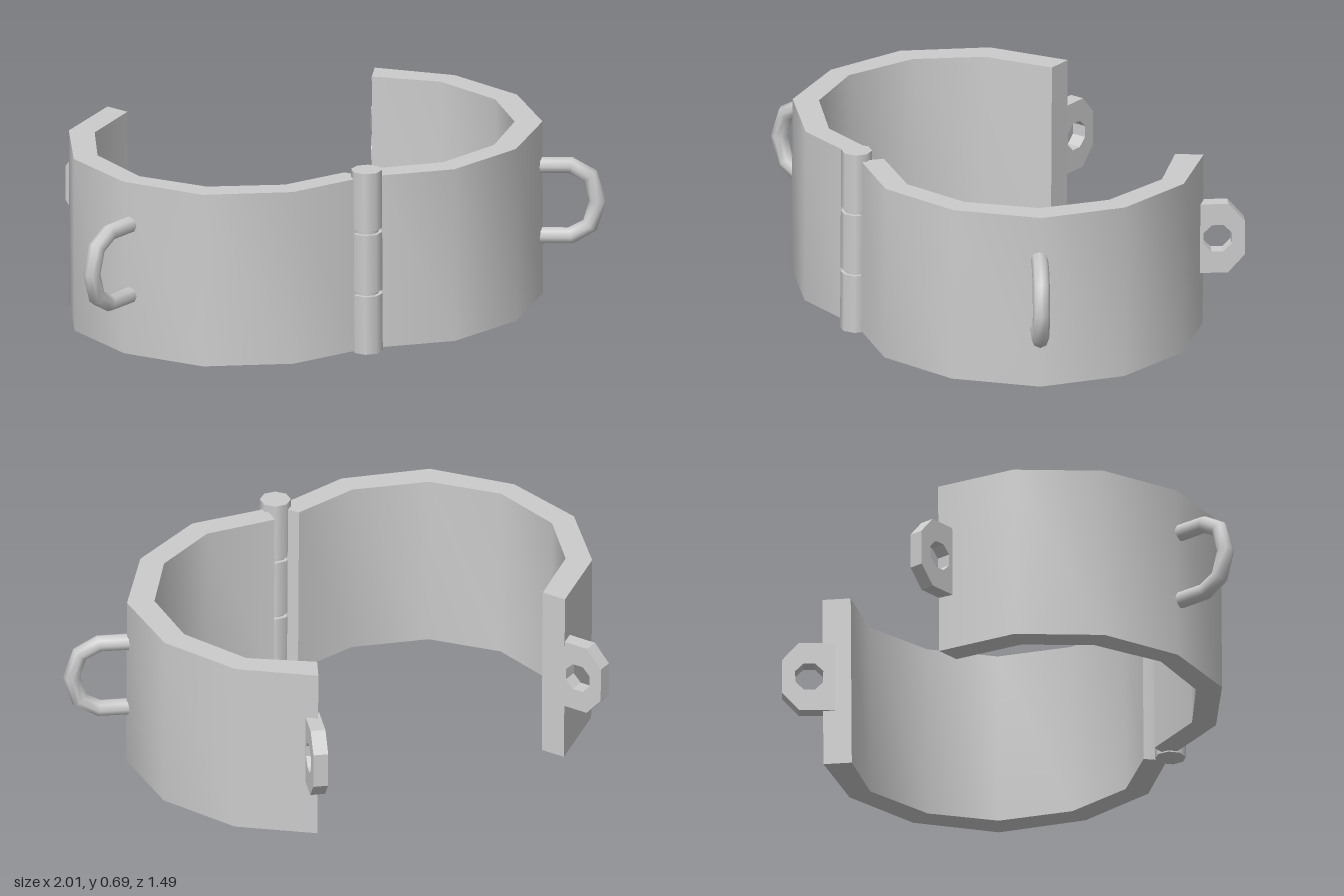
import * as THREE from 'three';
import { toCreasedNormals } from 'three/addons/utils/BufferGeometryUtils.js';

const material = new THREE.MeshStandardMaterial({ color: 0xcccccc });

function addMesh(parent, geometry, name) {
  const mesh = new THREE.Mesh(geometry, material);
  mesh.name = name;
  parent.add(mesh);
  return mesh;
}

// Faceted half band: plan outline in [x, z], extruded upward
function halfBand(outline) {
  const shape = new THREE.Shape(outline.map(([x, z]) => new THREE.Vector2(x, -z)));
  const geo = new THREE.ExtrudeGeometry(shape, { depth: 0.65, bevelEnabled: false });
  geo.rotateX(-Math.PI / 2).translate(0, 0.01, 0);
  return toCreasedNormals(geo, 0.8);
}

// Turns a part so that its local +x points along (dx, dz) in plan
function place(mesh, x, y, z, dx, dz) {
  mesh.position.set(x, y, z);
  mesh.rotation.y = Math.atan2(-dz, dx);
}

// Chamfered lock tab with an eight-sided hole
function lockTab() {
  const shape = new THREE.Shape([
    [-0.03, -0.132], [0.1, -0.132], [0.16, -0.065],
    [0.16, 0.065], [0.1, 0.132], [-0.03, 0.132],
  ].map(p => new THREE.Vector2(...p)));
  const hole = [];
  for (let i = 0; i < 8; i++) {
    const a = -(i + 0.5) * Math.PI / 4;
    hole.push(new THREE.Vector2(0.062 + 0.055 * Math.cos(a), 0.055 * Math.sin(a)));
  }
  shape.holes.push(new THREE.Path(hole));
  const geo = new THREE.ExtrudeGeometry(shape, { depth: 0.054, bevelEnabled: false });
  geo.translate(0, 0, -0.027);
  return toCreasedNormals(geo, 0.6);
}

// U-shaped loop: two straight legs joined by a faceted half ring
function chainLoop() {
  const pts = [new THREE.Vector3(-0.03, 0.133, 0)];
  for (let i = 0; i <= 4; i++) {
    const a = Math.PI / 2 - i * Math.PI / 4;
    pts.push(new THREE.Vector3(0.115 + 0.098 * Math.cos(a), 0.133 * Math.sin(a), 0));
  }
  pts.push(new THREE.Vector3(-0.03, -0.133, 0));
  const curve = new THREE.CatmullRomCurve3(pts);
  // Rings sit exactly on the corner points
  curve.getPointAt = curve.getPoint;
  curve.getTangentAt = curve.getTangent;
  return new THREE.TubeGeometry(curve, pts.length - 1, 0.031, 8, false);
}

export function createModel() {
  const model = new THREE.Group();
  model.name = 'hingedCuff';

  // Two halves of the band
  addMesh(model, halfBand([
    [-0.08, 0.525], [-0.335, 0.505], [-0.57, 0.35], [-0.69, 0.105],
    [-0.665, -0.175], [-0.515, -0.39], [-0.28, -0.505],
    [-0.3, -0.597], [-0.575, -0.465], [-0.757, -0.195], [-0.773, 0.12],
    [-0.64, 0.415], [-0.365, 0.59], [-0.09, 0.61], [-0.065, 0.57],
  ]), 'rightBand');
  addMesh(model, halfBand([
    [0.02, 0.55], [0.265, 0.65], [0.53, 0.607], [0.75, 0.44],
    [0.848, 0.195], [0.815, -0.085], [0.655, -0.285],
    [0.725, -0.36], [0.9, -0.115], [0.943, 0.2], [0.83, 0.5],
    [0.565, 0.692], [0.25, 0.74], [-0.01, 0.63], [0, 0.59],
  ]), 'leftBand');

  // Hinge: three knuckles around a thinner pin
  const hinge = new THREE.Group();
  hinge.name = 'hinge';
  hinge.position.set(-0.052, 0, 0.617);
  for (const y of [0.114, 0.346, 0.58]) {
    const geo = new THREE.CylinderGeometry(0.056, 0.056, 0.218, 8);
    addMesh(hinge, geo, 'hingeKnuckle').position.y = y;
  }
  addMesh(hinge, new THREE.CylinderGeometry(0.042, 0.042, 0.66, 8), 'hingePin').position.y = 0.346;
  model.add(hinge);

  // Lock tabs at the open ends
  place(addMesh(model, lockTab(), 'rightLockTab'), -0.326, 0.352, -0.585, -0.21, -0.98);
  place(addMesh(model, lockTab(), 'leftLockTab'), 0.73, 0.352, -0.34, 0.582, -0.813);

  // Chain loops on the sides
  place(addMesh(model, chainLoop(), 'rightLoop'), -0.763, 0.367, 0.14, -0.97, 0.24);
  place(addMesh(model, chainLoop(), 'leftLoop'), 0.815, 0.364, 0.495, 0.78, 0.62);

  // Very slight forward lift of the whole cuff
  model.rotation.x = -0.0075;
  return model;
}
